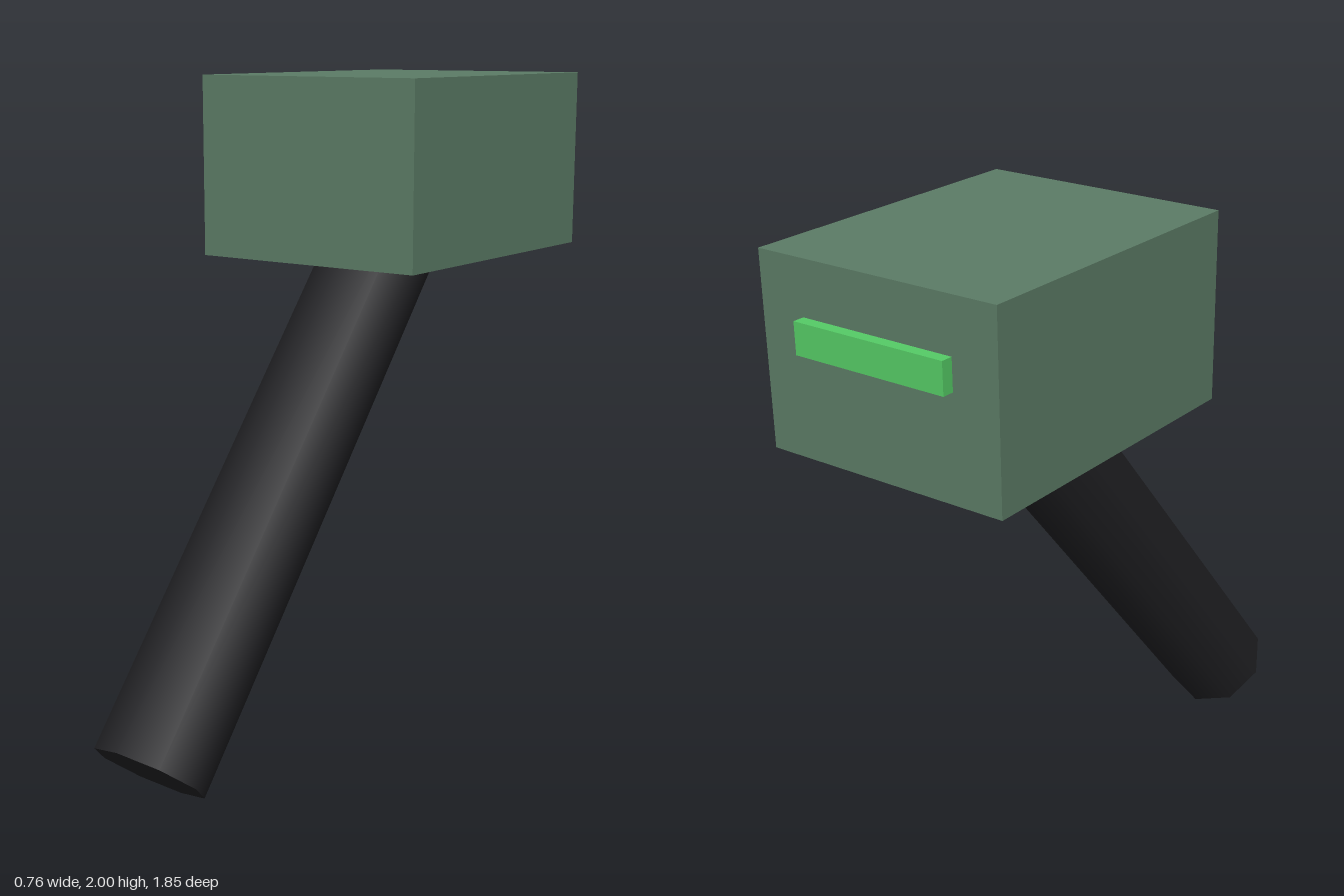
import * as THREE from 'three';

function addPart(group, name, geometry, color, position) {
  const mesh = new THREE.Mesh(geometry, new THREE.MeshStandardMaterial({ color }));
  mesh.name = name;
  mesh.position.set(...position);
  group.add(mesh);
  return mesh;
}

export function createModel() {
  const model = new THREE.Group();
  model.name = 'angledHandleDevice';

  // Box head on top
  addPart(model, 'head', new THREE.BoxGeometry(0.76, 0.545, 0.96), 0x5c7c66, [0, 1.7275, -0.41]);

  // Bright strip set into the back of the head
  addPart(model, 'lightStrip', new THREE.BoxGeometry(0.48, 0.09, 0.07), 0x55cc66, [0, 1.8, -0.89]);

  // Eight-sided slanted handle, running up into the head
  const tilt = THREE.MathUtils.degToRad(40);
  const length = 2;
  const handle = addPart(model, 'handle', new THREE.CylinderGeometry(0.17, 0.17, length, 8), 0x222225, [
    0,
    0.112 + Math.cos(tilt) * length / 2,
    0.797 - Math.sin(tilt) * length / 2,
  ]);
  handle.rotation.x = -tilt;

  return model;
}
